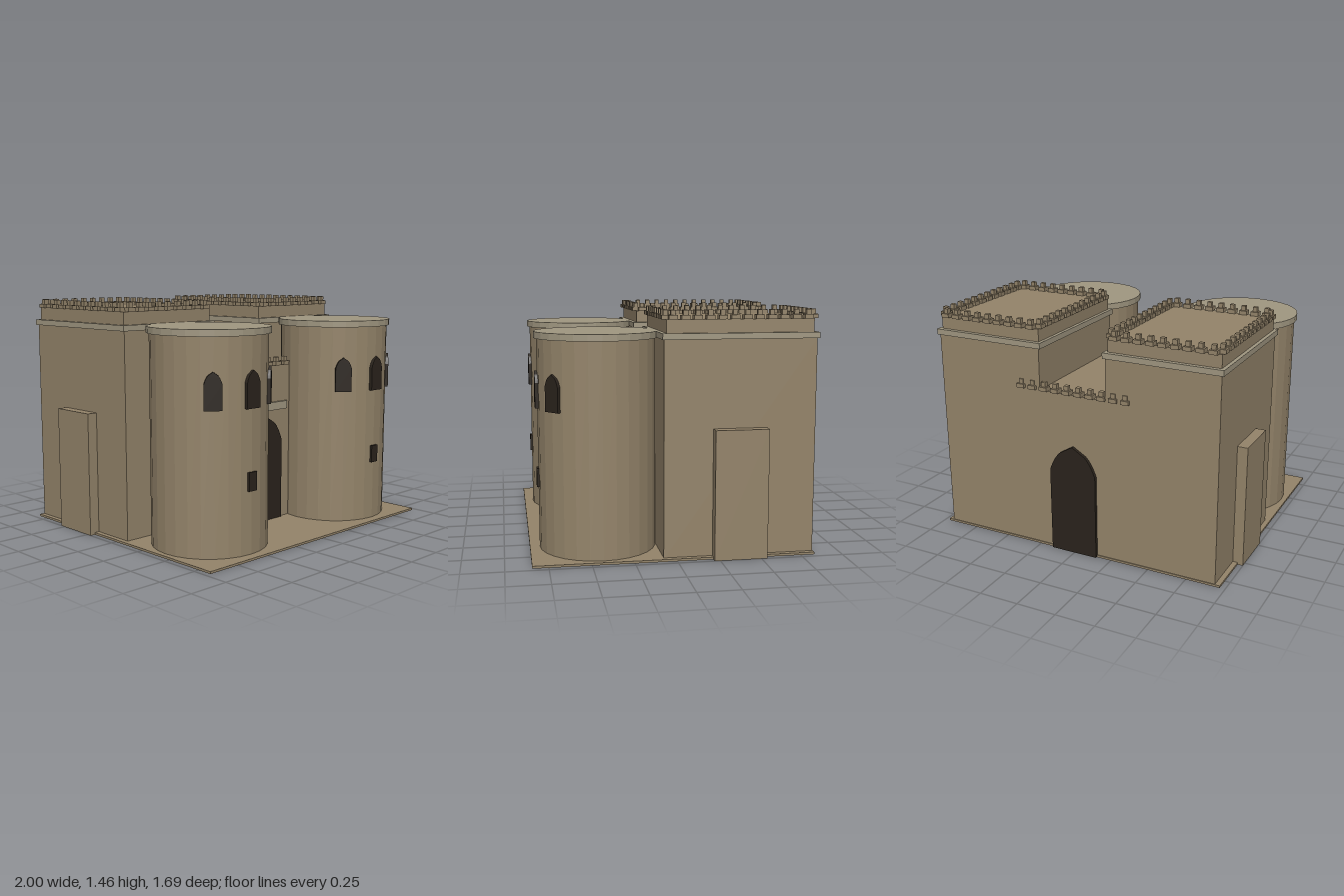
import * as THREE from 'three';

const mat = (color) => new THREE.MeshStandardMaterial({ color, flatShading: true });
const stone = mat(0x94846a);
const trim = mat(0xa09781);
const dark = mat(0x2a231c);

function add(parent, name, geometry, material, x = 0, y = 0, z = 0) {
  const mesh = new THREE.Mesh(geometry, material);
  mesh.name = name;
  mesh.position.set(x, y, z);
  parent.add(mesh);
  return mesh;
}

// Box given by its extents on each axis
function block(parent, name, material, [x0, x1], [y0, y1], [z0, z1]) {
  return add(parent, name, new THREE.BoxGeometry(x1 - x0, y1 - y0, z1 - z0), material,
    (x0 + x1) / 2, (y0 + y1) / 2, (z0 + z1) / 2);
}

// Pointed arch panel standing on y = 0, front and back at +-depth / 2
function archGeometry(width, spring, height, depth) {
  const w = width / 2, rise = height - spring;
  const shape = new THREE.Shape();
  shape.moveTo(-w, 0);
  shape.lineTo(w, 0);
  shape.lineTo(w, spring);
  shape.quadraticCurveTo(w * 0.8, spring + rise * 0.5, w * 0.55, spring + rise * 0.7);
  shape.lineTo(0, height);
  shape.lineTo(-w * 0.55, spring + rise * 0.7);
  shape.quadraticCurveTo(-w * 0.8, spring + rise * 0.5, -w, spring);
  return new THREE.ExtrudeGeometry(shape, { depth, bevelEnabled: false, curveSegments: 4 })
    .translate(0, 0, -depth / 2);
}

// Stepped merlons spread evenly between two points
const merlonBase = new THREE.BoxGeometry(0.05, 0.025, 0.05).translate(0, 0.0125, 0);
const merlonTop = new THREE.BoxGeometry(0.028, 0.03, 0.028).translate(0, 0.039, 0);
function merlonRow(parent, count, y, [x0, z0], [x1, z1]) {
  const row = new THREE.Group();
  row.name = 'merlonRow';
  for (let i = 0; i < count; i++) {
    const t = i / (count - 1);
    const x = x0 + (x1 - x0) * t, z = z0 + (z1 - z0) * t;
    add(row, 'merlonBase', merlonBase, stone, x, y, z);
    add(row, 'merlonTop', merlonTop, stone, x, y, z);
  }
  parent.add(row);
}

// Round front tower with cap, three arched windows and a slit
function roundTower(side) {
  const tower = new THREE.Group();
  tower.name = side > 0 ? 'leftRoundTower' : 'rightRoundTower';
  tower.position.set(0.58 * side, 0, 0.43);
  add(tower, 'towerWall', new THREE.CylinderGeometry(0.355, 0.355, 1.285, 28), stone, 0, 0.6475, 0);
  add(tower, 'towerCap', new THREE.CylinderGeometry(0.372, 0.372, 0.04, 28), trim, 0, 1.31, 0);
  const windowShape = archGeometry(0.105, 0.15, 0.22, 0.04);
  for (const degrees of [-40, 0, 40]) {
    const a = THREE.MathUtils.degToRad(degrees);
    const w = add(tower, 'archedWindow', windowShape, dark,
      0.35 * Math.sin(a), 0.875, 0.35 * Math.cos(a));
    w.rotation.y = a;
  }
  block(tower, 'slitWindow', dark, [-0.031, 0.031], [0.393, 0.505], [0.33, 0.366]);
  return tower;
}

// Square rear tower with band, parapet, merlons and side buttress
function squareTower(side) {
  const tower = new THREE.Group();
  tower.name = side > 0 ? 'leftSquareTower' : 'rightSquareTower';
  const span = (a, b) => (side > 0 ? [a, b] : [-b, -a]);
  block(tower, 'towerWall', stone, span(0.222, 0.935), [0.005, 1.295], [-0.83, 0.077]);
  block(tower, 'towerBand', trim, span(0.208, 0.95), [1.295, 1.33], [-0.84, 0.088]);
  block(tower, 'parapet', stone, span(0.23, 0.927), [1.33, 1.408], [-0.812, 0.063]);
  block(tower, 'buttress', stone, span(0.92, 1.0), [0, 0.775], [-0.535, -0.215]);
  const y = 1.408, inner = 0.24 * side, outer = 0.918 * side;
  for (const z of [-0.815, 0.062]) {
    merlonRow(tower, 9, y, [0.278 * side, z], [0.882 * side, z]);
  }
  for (const x of [inner, outer]) merlonRow(tower, 12, y, [x, -0.775], [x, 0.025]);
  return tower;
}

// Gatehouse between the towers, with doors front and back
function gatehouse() {
  const house = new THREE.Group();
  house.name = 'gatehouse';
  block(house, 'gatehouseWall', stone, [-0.24, 0.24], [0.005, 1.037], [-0.83, 0.335]);
  const door = archGeometry(0.31, 0.54, 0.71, 0.04);
  add(house, 'frontDoor', door, dark, 0, 0.002, 0.33);
  add(house, 'backDoor', door, dark, 0, 0.002, -0.83);
  block(house, 'lintel', trim, [-0.208, 0.205], [0.745, 0.797], [0.31, 0.352]);
  merlonRow(house, 6, 1.037, [-0.197, 0.33], [0.193, 0.33]);
  merlonRow(house, 10, 1.037, [-0.353, -0.823], [0.349, -0.823]);
  return house;
}

export function createModel() {
  const fort = new THREE.Group();
  fort.name = 'fort';
  block(fort, 'basePlate', stone, [-0.967, 0.967], [0, 0.014], [-0.835, 0.845]);
  fort.add(gatehouse());
  for (const side of [-1, 1]) fort.add(roundTower(side), squareTower(side));
  return fort;
}
